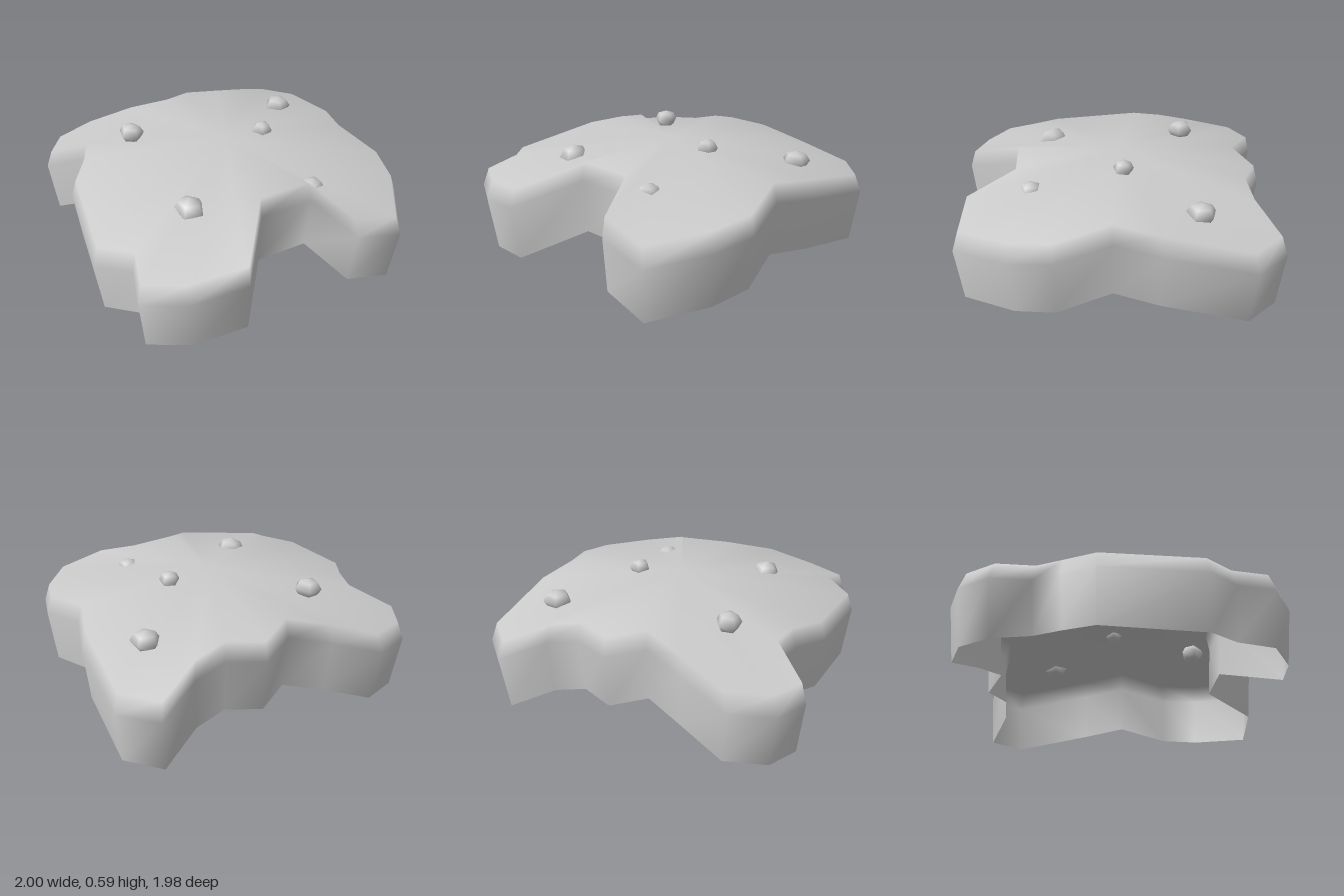
import * as THREE from 'three';

const material = new THREE.MeshStandardMaterial({ color: 0xcccccc, side: THREE.DoubleSide });

// Lobed outline of the slab as [x, z], running from the back towards +x
const outline = [
  [-0.32, -0.99], [-0.1, -0.96], [0.08, -0.77], [0.22, -0.6], [0.42, -0.6], [0.54, -0.45],
  [0.7, -0.39], [0.94, -0.38], [1, -0.17], [0.78, 0.21], [0.62, 0.38], [0.56, 0.66],
  [0.42, 0.82], [0.14, 0.985], [-0.08, 0.86], [-0.07, 0.585], [-0.33, 0.47], [-0.65, 0.63],
  [-0.87, 0.47], [-1, 0.28], [-0.89, 0.15], [-0.95, -0.04], [-0.67, -0.47], [-0.5, -0.57],
  [-0.4, -0.67], [-0.47, -0.9],
];

// Wall rings from the foot to the top edge: scale of the outline, height above the foot
const rings = [[0.965, 0], [1, 0.28], [0.965, 0.375]];

// Hollow shell: a wall that arches up between the lobes, closed by a shallow fan
function shellGeometry() {
  const n = outline.length, positions = [], index = [];
  for (const [scale, height] of rings) {
    for (const [x, z] of outline) {
      const foot = Math.max(0, 0.24 * (1 - x * x - z * z));
      positions.push(x * scale, foot + height, z * scale);
    }
  }
  const apex = rings.length * n;
  positions.push(0, 0.56, 0);
  for (let i = 0; i < n; i++) {
    const j = (i + 1) % n;
    for (let r = 0; r < rings.length - 1; r++) {
      const a = r * n + i, b = r * n + j;
      index.push(a, a + n, b, b, a + n, b + n);
    }
    index.push(apex - n + i, apex, apex - n + j);
  }
  const geometry = new THREE.BufferGeometry();
  geometry.setAttribute('position', new THREE.Float32BufferAttribute(positions, 3));
  geometry.setIndex(index);
  geometry.computeVertexNormals();
  return geometry;
}

// Small five-sided pebble, half sunk into the shell
function pebble([x, y, z, width, height, depth, turn]) {
  const geometry = new THREE.SphereGeometry(0.5, 5, 4);
  const mesh = new THREE.Mesh(geometry, material);
  mesh.name = 'pebble';
  geometry.rotateY(turn);
  mesh.scale.set(width, height, depth);
  mesh.position.set(x, y, z);
  return mesh;
}

export function createModel() {
  const model = new THREE.Group();
  model.name = 'lobedSlab';

  const shell = new THREE.Mesh(shellGeometry(), material);
  shell.name = 'shell';
  model.add(shell);

  // Pebbles: x, y, z, width, height, depth, turn
  const pebbles = [
    [-0.5, 0.45, 0.17, 0.15, 0.14, 0.17, 0.3],
    [-0.18, 0.5, -0.5, 0.13, 0.1, 0.15, 1.2],
    [0.215, 0.545, 0.1, 0.11, 0.09, 0.11, 0.7],
    [0.655, 0.455, -0.08, 0.15, 0.1, 0.15, 2.1],
    [0.03, 0.44, 0.53, 0.13, 0.1, 0.13, 0.9],
  ];
  for (const p of pebbles) model.add(pebble(p));
  return model;
}
